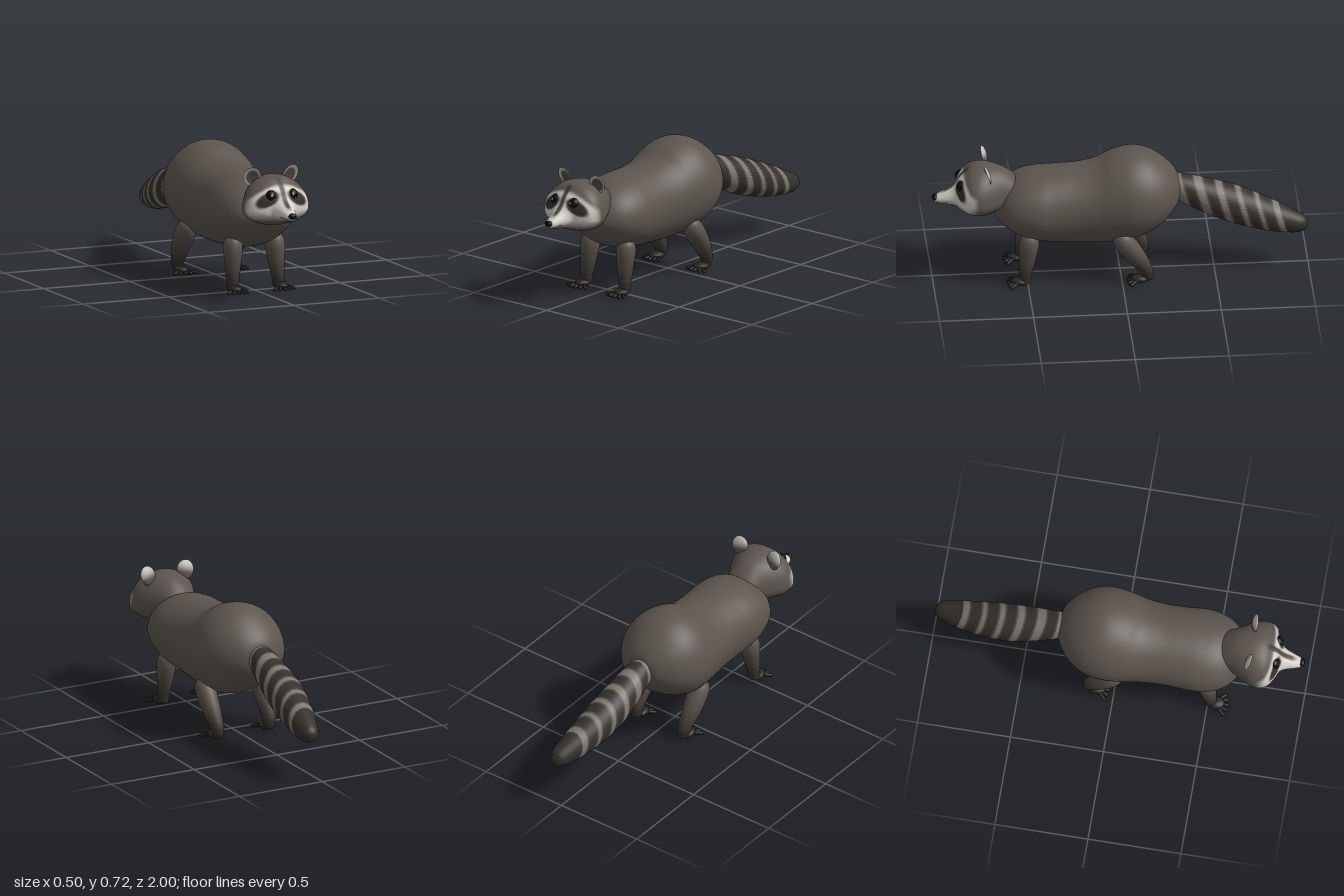
import * as THREE from 'three';
import { ParametricGeometry } from 'three/addons/geometries/ParametricGeometry.js';

const { smoothstep: ss, clamp } = THREE.MathUtils;
const DARK = new THREE.Color(0x1b1816), FUR = new THREE.Color(0x5c554e), PALE = new THREE.Color(0xd6d2ca);
const FUR_TONE = 0.4, LEVELS = 20;

// Tone 0 = dark, 0.4 = brown fur, 1 = pale
const toneColor = t => (t < FUR_TONE
  ? DARK.clone().lerp(FUR, t / FUR_TONE)
  : FUR.clone().lerp(PALE, (t - FUR_TONE) / (1 - FUR_TONE)));
const material = color => new THREE.MeshStandardMaterial({ color, roughness: 0.85 });

function mesh(name, geometry, color, parent) {
  const m = new THREE.Mesh(geometry, material(color));
  m.name = name;
  parent.add(m);
  return m;
}

// Splits a smooth surface into one mesh per fur tone, sharing its normals
function paint(name, geometry, tone, parent) {
  const group = new THREE.Group();
  group.name = name;
  const pos = geometry.attributes.position, idx = geometry.index.array, buckets = new Map();
  const c = new THREE.Vector3(), p = new THREE.Vector3();
  for (let i = 0; i < idx.length; i += 3) {
    c.set(0, 0, 0);
    for (let k = 0; k < 3; k++) c.add(p.fromBufferAttribute(pos, idx[i + k]));
    c.divideScalar(3);
    const level = Math.round(clamp(tone(c.x, c.y, c.z), 0, 1) * LEVELS);
    if (!buckets.has(level)) buckets.set(level, []);
    buckets.get(level).push(idx[i], idx[i + 1], idx[i + 2]);
  }
  for (const [level, list] of buckets) {
    const g = new THREE.BufferGeometry();
    g.setAttribute('position', pos);
    g.setAttribute('normal', geometry.attributes.normal);
    g.setIndex(list);
    mesh(name + 'Fur', g, toneColor(level / LEVELS), group);
  }
  parent.add(group);
  return group;
}

// Smooth interpolation through rows of numbers, v from 0 to 1
function spline(rows, v) {
  const n = rows.length - 1, s = clamp(v, 0, 1) * n, i = Math.min(Math.floor(s), n - 1), f = s - i;
  const a = rows[Math.max(i - 1, 0)], b = rows[i], c = rows[i + 1], d = rows[Math.min(i + 2, n)];
  return b.map((q, k) => q + 0.5 * f * (c[k] - a[k]
    + f * (2 * a[k] - 5 * q + 4 * c[k] - d[k] + f * (3 * (q - c[k]) + d[k] - a[k]))));
}

// Cross-sections along z: [z, top, widest height, bottom, half width]
function sectionPoint(rows, u, v, out) {
  const [z, top, mid, bottom, w] = spline(rows, v), a = u * Math.PI * 2, s = Math.sin(a);
  return out.set(w * Math.cos(a), mid + s * (s > 0 ? top - mid : mid - bottom), z);
}
const loft = (rows, slices, stacks) =>
  new ParametricGeometry((u, v, out) => sectionPoint(rows, u, v, out), slices, stacks);

// Round limb along a path: [x, y, z, radius]
function limb(rows, ref, slices, stacks) {
  const d = new THREE.Vector3(), side = new THREE.Vector3(), up = new THREE.Vector3();
  return new ParametricGeometry((u, v, out) => {
    const [x, y, z, r] = spline(rows, v);
    const a = spline(rows, Math.max(v - 0.01, 0)), b = spline(rows, Math.min(v + 0.01, 1));
    d.set(b[0] - a[0], b[1] - a[1], b[2] - a[2]).normalize();
    side.crossVectors(ref, d).normalize();
    up.crossVectors(d, side);
    const t = u * Math.PI * 2;
    out.set(x, y, z).addScaledVector(side, r * Math.cos(t)).addScaledVector(up, r * Math.sin(t));
  }, slices, stacks);
}

const BODY = [
  [-0.318, 0.50, 0.485, 0.47, 0.002], [-0.313, 0.54, 0.485, 0.43, 0.075], [-0.29, 0.59, 0.475, 0.38, 0.125],
  [-0.23, 0.65, 0.465, 0.31, 0.19], [-0.15, 0.70, 0.455, 0.255, 0.235], [-0.06, 0.717, 0.45, 0.218, 0.25],
  [0.04, 0.695, 0.44, 0.20, 0.24], [0.13, 0.65, 0.43, 0.194, 0.223], [0.23, 0.63, 0.425, 0.20, 0.215],
  [0.34, 0.624, 0.42, 0.208, 0.218], [0.44, 0.617, 0.42, 0.225, 0.226], [0.53, 0.60, 0.42, 0.255, 0.212],
  [0.60, 0.56, 0.42, 0.30, 0.178], [0.65, 0.505, 0.42, 0.35, 0.122], [0.675, 0.46, 0.42, 0.385, 0.065],
  [0.683, 0.422, 0.42, 0.418, 0.002]];

const HEAD = [
  [0.51, 0.54, 0.50, 0.46, 0.05], [0.56, 0.592, 0.505, 0.43, 0.09], [0.62, 0.636, 0.50, 0.415, 0.118],
  [0.68, 0.658, 0.495, 0.402, 0.152], [0.74, 0.665, 0.49, 0.395, 0.18], [0.79, 0.655, 0.49, 0.40, 0.181],
  [0.823, 0.632, 0.49, 0.41, 0.163], [0.843, 0.612, 0.49, 0.418, 0.137], [0.86, 0.592, 0.488, 0.425, 0.104],
  [0.874, 0.566, 0.485, 0.43, 0.071], [0.90, 0.537, 0.48, 0.435, 0.054], [0.94, 0.513, 0.475, 0.442, 0.04],
  [0.97, 0.495, 0.47, 0.448, 0.03], [0.985, 0.482, 0.467, 0.453, 0.018], [0.989, 0.469, 0.467, 0.465, 0.001]];

// Face pattern: pale brows, cheeks and muzzle, dark eye mask, nose stripe
function faceTone(x, y, z) {
  const ax = Math.abs(x), dx = ax - 0.086, dy = y - 0.55 + 0.4 * dx;
  const top = 0.632 - 2.5 * ax * ax;
  const pale = ss(z, 0.755, 0.825) * (1 - ss(y, top - 0.022, top)) * ss(y, 0.425, 0.49);
  const mask = (1 - ss(Math.hypot(dx / 0.062, dy / 0.037), 0.7, 1.2)) * ss(z, 0.77, 0.81);
  const stripe = (1 - ss(ax, 0.005, 0.022)) * ss(y, 0.495, 0.525) * ss(z, 0.78, 0.82) * 0.75;
  const base = FUR_TONE + (1 - FUR_TONE) * pale;
  return base * (1 - 0.92 * mask) * (1 - stripe);
}

function buildHead(root) {
  const head = new THREE.Group();
  head.name = 'head';
  root.add(head);
  paint('face', loft(HEAD, 160, 170), faceTone, head);

  const nose = mesh('nose', new THREE.SphereGeometry(1, 24, 16), 0x0e0d0d, head);
  nose.scale.set(0.023, 0.016, 0.016);
  nose.position.set(0, 0.477, 0.984);

  for (const s of [-1, 1]) {
    // Eyes with two small glints
    const eye = mesh('eye', new THREE.SphereGeometry(0.03, 32, 20), 0x0b0a0a, head);
    eye.position.set(s * 0.062, 0.569, 0.843);
    for (const [gx, gy, r] of [[-0.007, 0.007, 0.007], [0.005, -0.013, 0.003]]) {
      const glint = mesh('eyeGlint', new THREE.SphereGeometry(r, 12, 8), 0xf2f2f2, head);
      glint.position.set(s * 0.062 + gx, 0.569 + gy, 0.843 + Math.sqrt(0.0009 - gx * gx - gy * gy));
      glint.scale.set(0.9, 1.15, 0.35);
    }

    // Mouth line following the muzzle
    const pts = [[-90, 0.93], [-80, 0.925], [-55, 0.90], [-38, 0.86], [-26, 0.81], [-18, 0.76]].map(([deg, v]) =>
      sectionPoint(HEAD, (s > 0 ? deg : 180 - deg) / 360, v, new THREE.Vector3()));
    mesh('mouth', new THREE.TubeGeometry(new THREE.CatmullRomCurve3(pts), 30, 0.0014, 6), 0x3a3633, head);

    // Cupped ears with a pale rim
    const g = new THREE.SphereGeometry(1, 40, 40), p = g.attributes.position;
    for (let i = 0; i < p.count; i++) {
      const z = p.getZ(i);
      p.setZ(i, z > 0 ? -0.45 * z : z);
    }
    g.scale(0.047, 0.054, 0.018);
    g.computeVertexNormals();
    const ear = paint('ear', g, (x, y, z) => {
      const r = Math.hypot(x / 0.047, (y + 0.008) / 0.054), n = Math.hypot(x / 0.047, y / 0.054);
      const front = z > -0.018 * 0.5 * Math.sqrt(Math.max(1 - n * n, 0)) - 0.0005;
      return front ? 0.3 + 0.55 * ss(r, 0.55, 0.95) : 0.4 + 0.45 * ss(y, -0.02, 0.03);
    }, head);
    ear.position.set(s * 0.112, 0.656, 0.717);
    ear.rotation.set(0.28, s * 0.15, -s * 0.3);
  }
}

function buildFoot(name, x, z, s, parent) {
  const foot = new THREE.Group();
  foot.name = name;
  foot.position.set(s * x, 0, z);
  parent.add(foot);
  const pad = mesh('pad', new THREE.SphereGeometry(1, 24, 16), 0x292522, foot);
  pad.scale.set(0.037, 0.021, 0.05);
  pad.position.set(0, 0.022, 0);
  // Five splayed toes
  for (let i = -2; i <= 2; i++) {
    const a = i * 0.4, toe = mesh('toe', new THREE.CapsuleGeometry(0.0095, 0.036, 6, 12), 0x211d1b, foot);
    toe.rotation.set(Math.PI / 2 + 0.2, 0, -a, 'YXZ');
    toe.rotation.order = 'YXZ';
    toe.rotation.set(Math.PI / 2 + 0.2, a, 0);
    toe.position.set(i * 0.011 + Math.sin(a) * 0.03, 0.0145, 0.016 + Math.cos(a) * 0.03);
  }
}

export function createModel() {
  const root = new THREE.Group();
  root.name = 'raccoon';
  mesh('body', loft(BODY, 64, 90), FUR, root);
  buildHead(root);

  // Legs darken towards the paws
  const forward = new THREE.Vector3(0, 0, 1);
  const legTone = (x, y) => 0.09 + (FUR_TONE - 0.09) * ss(y, 0.02, 0.27);
  for (const s of [-1, 1]) {
    const front = [[0.122, 0.305, 0.485, 0.004], [0.122, 0.285, 0.487, 0.04], [0.123, 0.24, 0.492, 0.053],
      [0.127, 0.15, 0.502, 0.044], [0.132, 0.07, 0.512, 0.035], [0.133, 0.02, 0.515, 0.031]];
    const hind = [[0.163, 0.307, 0.028, 0.004], [0.164, 0.29, 0.017, 0.04], [0.165, 0.245, -0.015, 0.055],
      [0.164, 0.16, -0.075, 0.05], [0.158, 0.085, -0.122, 0.038], [0.155, 0.045, -0.134, 0.032],
      [0.155, 0.018, -0.132, 0.024]];
    for (const [name, rows] of [['frontLeg', front], ['hindLeg', hind]]) {
      const path = rows.map(([x, y, z, r]) => [s * x, y, z, r]);
      paint(name, limb(path, forward, 32, 60), legTone, root);
    }
    buildFoot('frontFoot', 0.135, 0.54, s, root);
    buildFoot('hindFoot', 0.155, -0.095, s, root);
  }

  // Ringed tail, curving to one side and down
  const tail = [[-0.005, 0.495, -0.27, 0.06], [-0.005, 0.478, -0.33, 0.074], [-0.003, 0.428, -0.45, 0.09],
    [0.005, 0.367, -0.61, 0.1], [0.028, 0.305, -0.79, 0.085], [0.047, 0.273, -0.91, 0.063],
    [0.054, 0.262, -0.965, 0.047], [0.057, 0.258, -0.99, 0.025], [0.058, 0.257, -0.997, 0.001]];
  paint('tail', limb(tail, new THREE.Vector3(0, 1, 0), 40, 240), (x, y, z) => {
    const along = z - 0.32 * (y - (0.62 + 0.41 * z));
    if (along < -0.875) return 0.1;
    const nearest = Math.min(...[-0.38, -0.5, -0.61, -0.71, -0.805].map(b => Math.abs(along - b)));
    return 0.1 + 0.4 * ss(nearest, 0.022, 0.042);
  }, root);

  return root;
}
